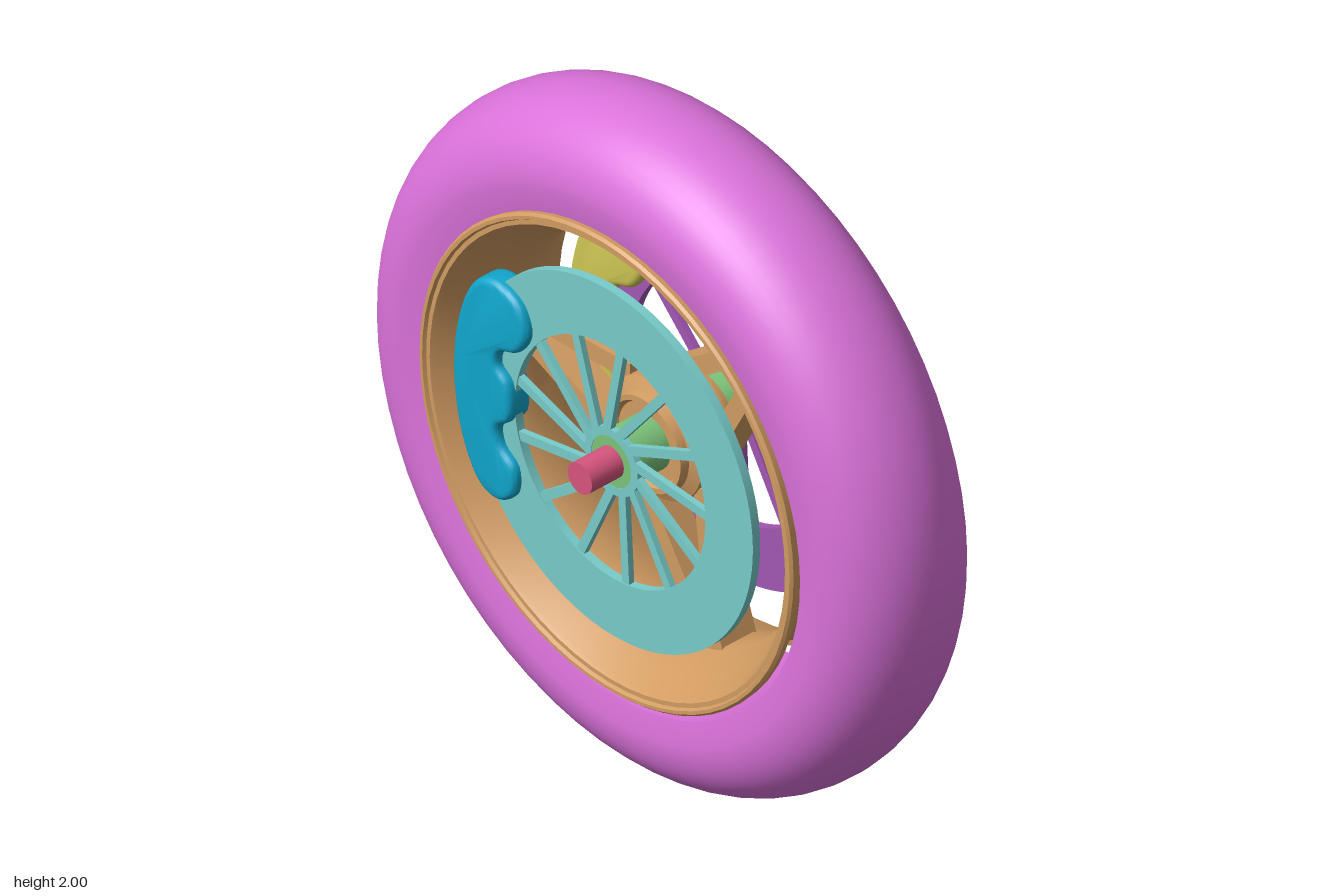
import * as THREE from 'three';
import { toCreasedNormals } from 'three/addons/utils/BufferGeometryUtils.js';

const mat = (name, color) => Object.assign(new THREE.MeshStandardMaterial({ color }), { name });

const MATS = {
  tyre: mat('orchid', 0xdb72db),
  rim: mat('tan', 0xd29c62),
  frontDisc: mat('turquoise', 0x78cccb),
  backDisc: mat('purple', 0xa257b4),
  frontCaliper: mat('blue', 0x10a6cc),
  backCaliper: mat('mustard', 0xcbc453),
  hub: mat('green', 0x7cc47a),
  axle: mat('crimson', 0xd8557f),
};

function add(parent, name, geometry, material, x = 0, y = 0, z = 0) {
  const mesh = new THREE.Mesh(geometry, material);
  mesh.name = name;
  mesh.position.set(x, y, z);
  parent.add(mesh);
  return mesh;
}

// Closed [radius, z] profile revolved around the z axis
function revolve(profile, crease, segments = 64) {
  const pts = [...profile, profile[0]].map(([r, z]) => new THREE.Vector2(r, z));
  return toCreasedNormals(new THREE.LatheGeometry(pts, segments).rotateX(Math.PI / 2), crease);
}

const rod = (radius, length, sides = 32) =>
  new THREE.CylinderGeometry(radius, radius, length, sides).rotateX(Math.PI / 2);

// Extrudes a shape and centres it on z = 0
function plate(shape, depth, bevel = 0) {
  return new THREE.ExtrudeGeometry(shape, {
    depth: depth - 2 * bevel, curveSegments: 48,
    bevelEnabled: bevel > 0, bevelSize: bevel, bevelThickness: bevel,
    bevelOffset: -bevel, bevelSegments: 4,
  }).translate(0, 0, -depth / 2 + bevel);
}

// Flat bar between two points in the xy plane
function bar(parent, name, a, b, width, depth, material) {
  const mesh = add(parent, name, new THREE.BoxGeometry(a.distanceTo(b), width, depth), material,
    (a.x + b.x) / 2, (a.y + b.y) / 2);
  mesh.rotation.z = Math.atan2(b.y - a.y, b.x - a.x);
  return mesh;
}

const polar = (r, angle) => new THREE.Vector2(r * Math.cos(angle), r * Math.sin(angle));

// Brake disc: flat ring carried by swirled thin spokes
function brakeDisc(name, material) {
  const disc = new THREE.Group();
  disc.name = name;
  const ring = new THREE.Shape().absarc(0, 0, 0.54, 0, Math.PI * 2);
  ring.holes.push(new THREE.Path().absarc(0, 0, 0.36, 0, Math.PI * 2, true));
  add(disc, name + 'Ring', toCreasedNormals(plate(ring, 0.026), 0.6), material);
  const centre = new THREE.Shape().absarc(0, 0, 0.1, 0, Math.PI * 2);
  centre.holes.push(new THREE.Path().absarc(0, 0, 0.075, 0, Math.PI * 2, true));
  add(disc, name + 'Centre', toCreasedNormals(plate(centre, 0.018), 0.6), material);
  const count = 13;
  for (let i = 0; i < count; i++) {
    const angle = 1.466 + (i * Math.PI * 2) / count;
    bar(disc, name + 'Spoke', polar(0.085, angle + 0.33), polar(0.37, angle), 0.027, 0.018, material);
  }
  return disc;
}

// Caliper outline with scalloped inner edge, relative to the wheel centre
function caliperGeometry() {
  const outline = [
    [-0.40, 0.37], [-0.32, 0.335], [-0.29, 0.255], [-0.33, 0.185], [-0.395, 0.155], [-0.405, 0.11],
    [-0.365, 0.07], [-0.36, -0.04], [-0.405, -0.085], [-0.395, -0.14], [-0.345, -0.185],
    [-0.345, -0.265], [-0.40, -0.31], [-0.47, -0.295], [-0.535, -0.19], [-0.57, -0.015],
    [-0.56, 0.155], [-0.515, 0.295], [-0.465, 0.355],
  ].map(([x, y]) => new THREE.Vector3(x, y, 0)).reverse();
  const curve = new THREE.CatmullRomCurve3(outline, true);
  const points = curve.getPoints(76).slice(0, -1).map((p) => new THREE.Vector2(p.x, p.y));
  return toCreasedNormals(plate(new THREE.Shape(points), 0.085, 0.02), 0.7);
}

// Twin-bar rim spoke converging on the barrel
function rimSpoke(angle) {
  const spoke = new THREE.Group();
  spoke.name = 'rimSpoke';
  for (const side of [-1, 1]) {
    bar(spoke, 'rimSpokeBar', new THREE.Vector2(0.13, side * 0.125),
      new THREE.Vector2(0.52, side * 0.035), 0.055, 0.1, MATS.rim);
  }
  add(spoke, 'rimSpokeFoot', new THREE.BoxGeometry(0.14, 0.125, 0.12), MATS.rim, 0.54);
  spoke.rotation.z = angle;
  return spoke;
}

export function createModel() {
  const model = new THREE.Group();
  model.name = 'wheel';
  const tilted = new THREE.Group();
  tilted.name = 'wheelAssembly';
  tilted.position.y = 1;
  tilted.rotation.x = 0.011;
  model.add(tilted);

  // Tyre: rounded crown with nearly flat sidewalls
  const section = [[0.715, -0.215]];
  for (let i = 0; i <= 24; i++) {
    const t = -Math.PI / 2 + (i * Math.PI) / 24;
    section.push([0.785 + 0.215 * Math.cos(t) ** 0.9, 0.228 * Math.sin(t)]);
  }
  section.push([0.715, 0.215]);
  add(tilted, 'tyre', revolve(section, 0.9), MATS.tyre);

  const wheel = new THREE.Group();
  wheel.name = 'innerWheel';
  wheel.position.y = 0.015;
  tilted.add(wheel);

  // Rim: stepped lips and a dropped barrel
  const half = [[0.62, 0.06], [0.655, 0.15], [0.68, 0.205], [0.705, 0.21], [0.707, 0.23],
    [0.7, 0.238], [0.69, 0.238], [0.685, 0.228], [0.672, 0.228], [0.664, 0.215], [0.635, 0.15], [0.59, 0.05]];
  const mirrored = half.map(([r, z]) => [r, -z]).reverse();
  add(wheel, 'rim', revolve([...half, ...mirrored], 0.5), MATS.rim);

  // Rim centre and three twin spokes
  const boss = [[0.125, -0.1], [0.14, -0.1], [0.145, -0.075], [0.178, -0.06], [0.178, 0.06],
    [0.145, 0.075], [0.14, 0.1], [0.125, 0.1], [0.115, 0.08], [0.06, 0.08], [0.06, -0.08], [0.115, -0.08]];
  add(wheel, 'rimCentre', revolve(boss, 0.5, 40), MATS.rim);
  for (let i = 0; i < 3; i++) wheel.add(rimSpoke(0.85 + (i * Math.PI * 2) / 3));

  // Hub sleeve and axle
  add(wheel, 'hubSleeve', rod(0.08, 0.425), MATS.hub);
  add(wheel, 'axle', rod(0.046, 0.65), MATS.axle);

  // Brake disc and caliper on each side
  const caliper = caliperGeometry();
  for (const [side, sign] of [['front', 1], ['back', -1]]) {
    const disc = brakeDisc(side + 'Disc', MATS[side + 'Disc']);
    disc.position.z = sign * 0.205;
    wheel.add(disc);
    add(wheel, side + 'Caliper', caliper, MATS[side + 'Caliper'], 0, sign > 0 ? 0 : 0.012, sign * 0.204);
  }
  return model;
}
